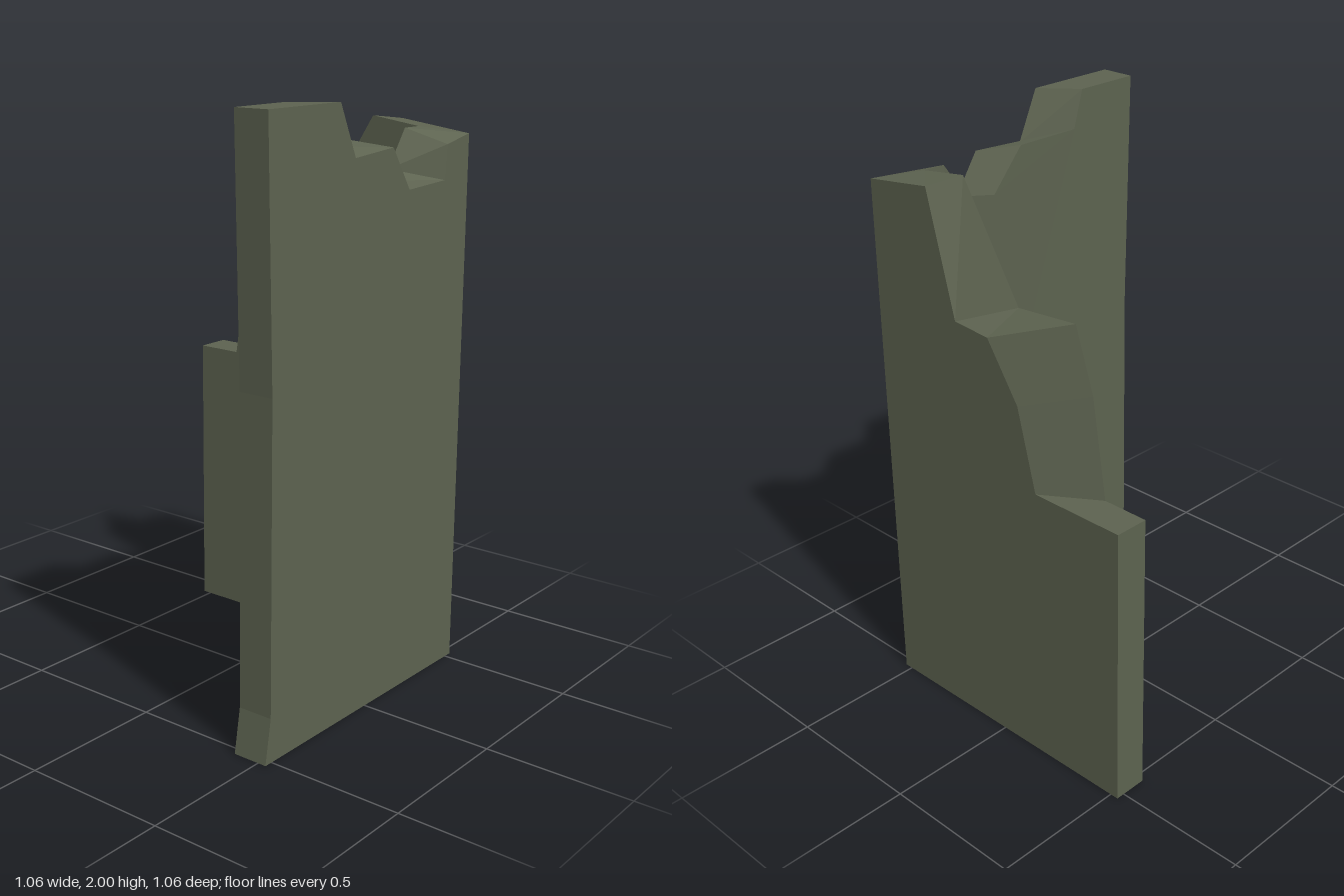
import * as THREE from 'three';

// Slab between two matching outlines [u, y], counter-clockwise seen from the inner face.
// The edge from last to first point is the open mitre joint.
function createSlab(name, inner, outer, toInner, toOuter, material) {
  const n = inner.map(toInner);
  const f = outer.map(toOuter);
  const positions = [];
  const tri = (a, b, c) => positions.push(...a, ...b, ...c);
  const faces = (outline) =>
    THREE.ShapeUtils.triangulateShape(outline.map(([u, y]) => new THREE.Vector2(u, y)), []);

  for (const [a, b, c] of faces(inner)) tri(n[a], n[b], n[c]);
  for (const [a, b, c] of faces(outer)) tri(f[c], f[b], f[a]);
  for (let i = 0; i < n.length - 1; i++) {
    tri(n[i], f[i], f[i + 1]);
    tri(n[i], f[i + 1], n[i + 1]);
  }
  const geometry = new THREE.BufferGeometry();
  geometry.setAttribute('position', new THREE.Float32BufferAttribute(positions, 3));
  geometry.computeVertexNormals();
  const mesh = new THREE.Mesh(geometry, material);
  mesh.name = name;
  return mesh;
}

export function createModel() {
  const group = new THREE.Group();
  group.name = 'ruinedWallCorner';
  const stone = new THREE.MeshStandardMaterial({ color: 0x5d6350, flatShading: true });
  stone.name = 'mossy stone';

  // Back wall: broken top stepping down from the corner to the low end
  const backInner = [
    [0.41, 1.88], [0.23, 1.905], [0, 1.535], [-0.245, 1.555],
    [-0.315, 1.34], [-0.364, 1], [-0.53, 1], [-0.53, 0], [0.41, 0],
  ];
  const backOuter = [
    [0.53, 1.855], [0.267, 1.89], [0.16, 1.48], [0.015, 1.47],
    [-0.11, 1.28], [-0.18, 1], [-0.53, 1], [-0.53, 0], [0.53, 0],
  ];
  group.add(createSlab('backWall', backInner, backOuter,
    ([u, y]) => [u, y, -0.41], ([u, y]) => [u, y, -0.53], stone));

  // Side wall: slightly hollowed front end, then a notched top back to the corner
  const end = [[0.53, 0], [0.505, 0.15], [0.505, 1.17], [0.53, 2]];
  const sideInner = [
    [-0.41, 0], ...end, [0.29, 2], [0.25, 1.87], [0, 1.87],
    [-0.125, 1.73], [-0.245, 1.755], [-0.335, 1.88], [-0.41, 1.88],
  ];
  const sideOuter = [
    [-0.53, 0], ...end, [0.19, 2], [0.11, 1.83], [-0.09, 1.845],
    [-0.185, 1.705], [-0.39, 1.715], [-0.4, 1.83], [-0.53, 1.855],
  ];
  group.add(createSlab('sideWall', sideInner, sideOuter,
    ([u, y]) => [0.407, y, u].map((v, i) => (i === 0 && u < -0.4 ? 0.41 : v)),
    ([u, y]) => [0.53, y, u], stone));

  return group;
}
